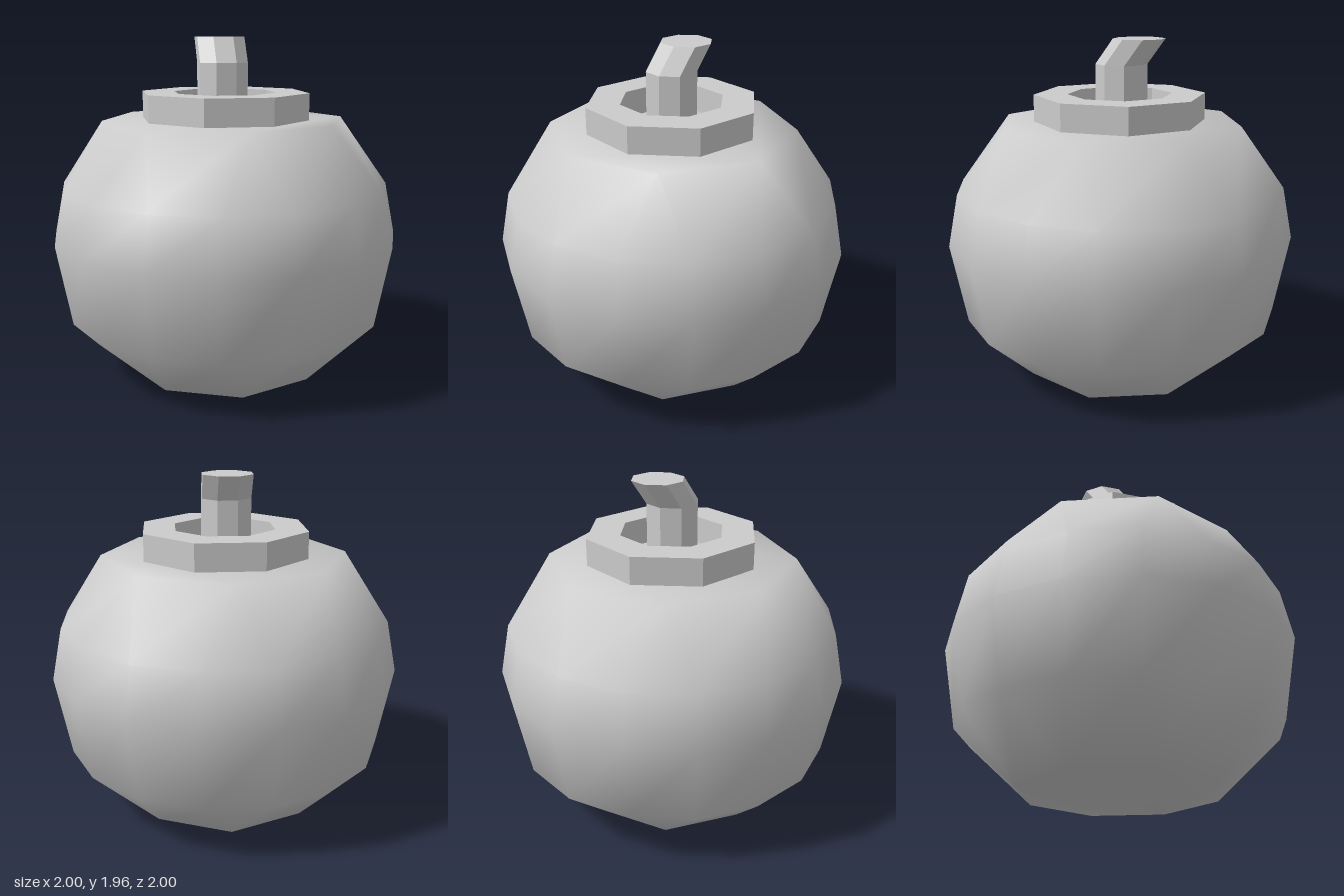
import * as THREE from 'three';
import { mergeVertices } from 'three/addons/utils/BufferGeometryUtils.js';

const STEP = Math.PI / 8;

// Regular octagon outline with flat sides facing the axes
function octagon(apothem, Type = THREE.Shape) {
  const r = apothem / Math.cos(STEP);
  const pts = [];
  for (let i = 0; i < 8; i++) {
    const a = (i + 0.5) * 2 * STEP;
    pts.push(new THREE.Vector2(r * Math.cos(a), r * Math.sin(a)));
  }
  return new Type(pts);
}

// Round body: 16-sided rings that pinch to octagons at the top and bottom
function bodyGeometry() {
  const rings = [
    { y: 0, r: 0.585, sides: 8 },
    { y: 0.34, r: 0.93, sides: 16 },
    { y: 0.81, r: 1.018, sides: 16 },
    { y: 1.11, r: 0.958, sides: 16 },
    { y: 1.49, r: 0.71, sides: 8 },
  ];
  const pos = [], index = [];
  for (const { y, r, sides } of rings) {
    for (let i = 0; i < 16; i++) {
      // points in pairs share one corner on the octagonal rings
      const a = sides === 16 ? (i - 0.5) * STEP : Math.floor(i / 2) * 2 * STEP;
      pos.push(r * Math.cos(a), y, r * Math.sin(a));
    }
  }
  const last = rings.length - 1;
  for (let k = 0; k < last; k++) {
    for (let i = 0; i < 16; i++) {
      const j = (i + 1) % 16;
      const a = k * 16 + i, b = k * 16 + j, c = a + 16, d = b + 16;
      if (k === 0 && i % 2 === 0) index.push(a, c, d);
      else if (k === last - 1 && i % 2 === 0) index.push(a, c, b);
      else index.push(a, c, b, b, c, d);
    }
  }
  // Flat end caps
  for (let i = 2; i < 14; i += 2) {
    index.push(0, i, i + 2);
    index.push(last * 16, last * 16 + i + 2, last * 16 + i);
  }
  const g = new THREE.BufferGeometry();
  g.setAttribute('position', new THREE.Float32BufferAttribute(pos, 3));
  g.setIndex(index);
  const merged = mergeVertices(g, 1e-4);
  merged.computeVertexNormals();
  return merged;
}

export function createModel() {
  const group = new THREE.Group();
  const smooth = new THREE.MeshStandardMaterial({ color: 0xcccccc });
  const flat = new THREE.MeshStandardMaterial({ color: 0xcccccc, flatShading: true });
  const add = (name, geometry, material) => {
    const mesh = new THREE.Mesh(geometry, material);
    mesh.name = name;
    group.add(mesh);
    return mesh;
  };

  add('body', bodyGeometry(), smooth);

  // Octagonal collar with an octagonal hole
  const ring = octagon(0.46);
  ring.holes.push(octagon(0.28, THREE.Path));
  const collar = new THREE.ExtrudeGeometry(ring, { depth: 0.155, bevelEnabled: false });
  collar.rotateX(-Math.PI / 2).translate(0, 1.49, 0);
  add('collar', collar, flat);

  // Fuse: octagonal post whose upper part leans backwards
  const bottom = 1.48, bend = 1.815, top = 1.96;
  const r = 0.139 / Math.cos(STEP);
  const fuse = new THREE.CylinderGeometry(r, r, 2, 8, 2);
  fuse.rotateY(STEP);
  const p = fuse.attributes.position;
  for (let i = 0; i < p.count; i++) {
    const level = Math.round(p.getY(i)) + 1;
    p.setY(i, [bottom, bend, top][level]);
    if (level === 2) p.setZ(i, p.getZ(i) - 0.105);
  }
  fuse.translate(-0.01, 0, -0.006);
  fuse.computeVertexNormals();
  add('fuse', fuse, flat);

  return group;
}
